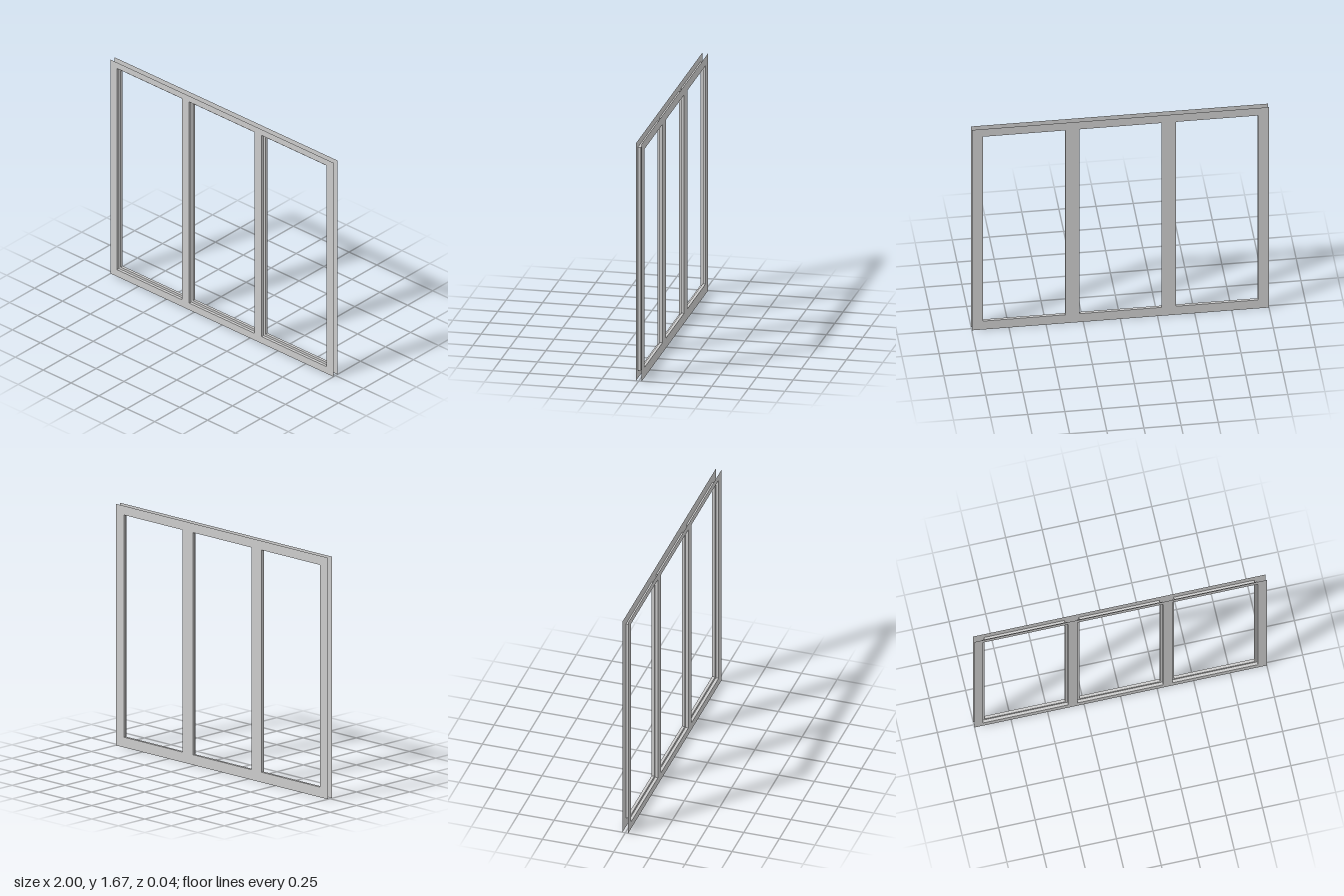
import * as THREE from 'three';
import { mergeGeometries } from 'three/addons/utils/BufferGeometryUtils.js';

const material = new THREE.MeshStandardMaterial({ color: 0xcccccc, side: THREE.DoubleSide });
const HEIGHT = 1.667, FRONT = 0.02, STEP = 0, BACK = -0.02;
const centres = [-0.651, -0.002, 0.647];

// Rectangles: the wide front opening and the narrower back opening of each light
const frontOpening = (x) => ({ x0: x - 0.292, x1: x + 0.292, y0: 0.053, y1: 1.621 });
const backOpening = (x) => ({ x0: x - 0.276, x1: x + 0.276, y0: 0.07, y1: 1.604 });

function mesh(geometry, name) {
  const m = new THREE.Mesh(geometry, material);
  m.name = name;
  return m;
}

// Flat sheet with rectangular holes; facing is 1 for +z and -1 for -z
function sheet(outer, holes, z, facing = 1) {
  const outline = (r, target) => {
    target.moveTo(r.x0 * facing, r.y0).lineTo(r.x1 * facing, r.y0)
      .lineTo(r.x1 * facing, r.y1).lineTo(r.x0 * facing, r.y1).closePath();
    return target;
  };
  const shape = outline(outer, new THREE.Shape());
  holes.forEach((h) => shape.holes.push(outline(h, new THREE.Path())));
  const geometry = new THREE.ShapeGeometry(shape);
  if (facing < 0) geometry.rotateY(Math.PI);
  return geometry.translate(0, 0, z);
}

// Four walls lining an opening, facing inwards
function reveal({ x0, x1, y0, y1 }, zBack, zFront) {
  const d = zFront - zBack, z = (zFront + zBack) / 2;
  const cx = (x0 + x1) / 2, cy = (y0 + y1) / 2, q = Math.PI / 2;
  const upright = (x, turn) => new THREE.PlaneGeometry(d, y1 - y0).rotateY(turn).translate(x, cy, z);
  const level = (y, turn) => new THREE.PlaneGeometry(x1 - x0, d).rotateX(turn).translate(cx, y, z);
  return mergeGeometries([upright(x0, q), upright(x1, -q), level(y0, -q), level(y1, q)]);
}

export function createModel() {
  const group = new THREE.Group();
  group.name = 'windowFrame';

  // Front and back faces; the outer edge between them stays open
  const outer = { x0: -1, x1: 1, y0: 0, y1: HEIGHT };
  group.add(mesh(sheet(outer, centres.map(frontOpening), FRONT), 'frontFace'));
  group.add(mesh(sheet(outer, centres.map(backOpening), BACK, -1), 'backFace'));

  // Stepped lining of each light
  centres.forEach((x, i) => {
    const light = new THREE.Group();
    light.name = ['rightLight', 'middleLight', 'leftLight'][i];
    const wide = frontOpening(x), narrow = backOpening(x);
    light.add(
      mesh(reveal(wide, STEP, FRONT), 'frontReveal'),
      mesh(sheet(wide, [narrow], STEP), 'glazingStep'),
      mesh(reveal(narrow, BACK, STEP), 'backReveal'),
    );
    group.add(light);
  });
  return group;
}
